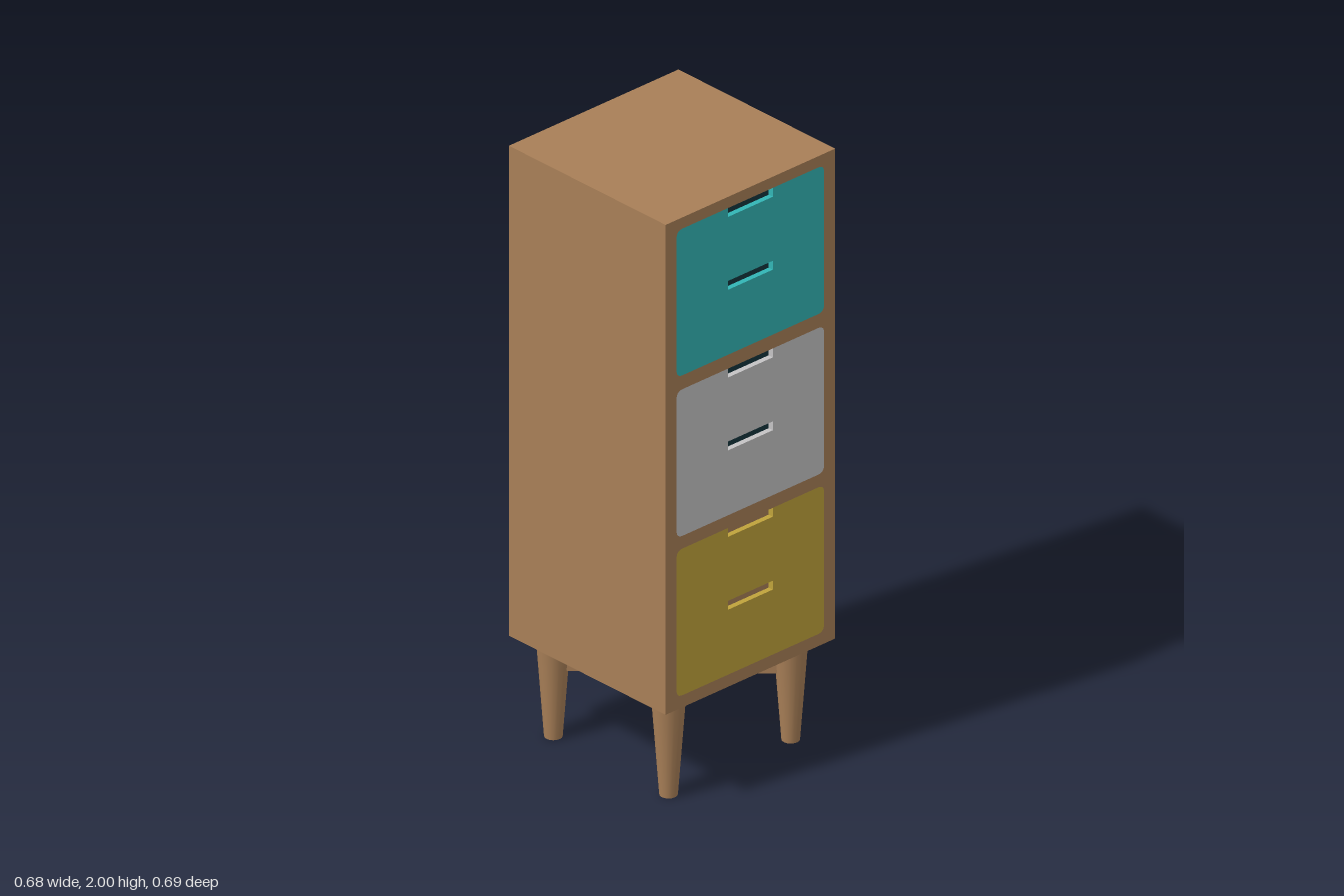
import * as THREE from 'three';

const mat = (name, color) => Object.assign(new THREE.MeshStandardMaterial({ color }), { name });

// Rounded rectangle outline; a notch in the middle of the top edge is optional
function roundedOutline(path, w, y0, y1, r, notchW = 0, notchH = 0) {
  path.moveTo(-w + r, y0);
  path.lineTo(w - r, y0);
  path.quadraticCurveTo(w, y0, w, y0 + r);
  path.lineTo(w, y1 - r);
  path.quadraticCurveTo(w, y1, w - r, y1);
  if (notchW) {
    path.lineTo(notchW, y1);
    path.lineTo(notchW, y1 - notchH);
    path.lineTo(-notchW, y1 - notchH);
    path.lineTo(-notchW, y1);
  }
  path.lineTo(-w + r, y1);
  path.quadraticCurveTo(-w, y1, -w, y1 - r);
  path.lineTo(-w, y0 + r);
  path.quadraticCurveTo(-w, y0, -w + r, y0);
  return path;
}

function rectOutline(path, w, y0, y1) {
  path.moveTo(-w, y0);
  path.lineTo(w, y0);
  path.lineTo(w, y1);
  path.lineTo(-w, y1);
  path.lineTo(-w, y0);
  return path;
}

export function createModel() {
  const group = new THREE.Group();
  const wood = mat('wood', 0xa87f57);
  const teal = mat('teal', 0x32b5b5);
  const grey = mat('lightGrey', 0xc4c3c4);
  const yellow = mat('mustard', 0xc0a33b);
  const dark = mat('darkTeal', 0x14343d);

  const add = (name, geometry, material, x = 0, y = 0, z = 0) => {
    const mesh = new THREE.Mesh(geometry, material);
    mesh.name = name;
    mesh.position.set(x, y, z);
    group.add(mesh);
    return mesh;
  };

  const X = 0.34, Z = 0.347, BASE = 0.34, TOP = 2, SKIN = 0.022;
  const drawerW = 0.302, drawerH = 0.497, radius = 0.025;
  const slotW = 0.092, slotH = 0.03, slotY = 0.22;
  const drawers = [
    { name: 'topDrawer', y: 1.465, material: teal, slot: dark },
    { name: 'middleDrawer', y: 0.921, material: grey, slot: dark },
    { name: 'bottomDrawer', y: 0.381, material: yellow, slot: wood },
  ];
  const skin = shape => new THREE.ExtrudeGeometry(shape,
    { depth: SKIN, bevelEnabled: false, curveSegments: 6 }).rotateY(Math.PI / 2);

  // Cabinet carcass and the face frame around the drawers on the +x side
  add('cabinet', new THREE.BoxGeometry(2 * X - SKIN, TOP - BASE, 2 * Z),
    wood, -SKIN / 2, (TOP + BASE) / 2);
  const frame = rectOutline(new THREE.Shape(), Z, BASE, TOP);
  for (const d of drawers) {
    frame.holes.push(roundedOutline(new THREE.Path(), drawerW, d.y, d.y + drawerH, radius));
  }
  add('faceFrame', skin(frame), wood, X - SKIN);

  // Drawer fronts with a notch at the top edge and a slot in the middle
  for (const d of drawers) {
    const front = roundedOutline(new THREE.Shape(), drawerW, d.y, d.y + drawerH, radius, slotW, slotH);
    front.holes.push(rectOutline(new THREE.Path(), slotW, d.y + slotY, d.y + slotY + slotH));
    add(d.name, skin(front), d.material, X - SKIN);
    for (const y of [d.y + slotY + slotH / 2, d.y + drawerH - slotH / 2]) {
      add(d.name + 'Grip', new THREE.BoxGeometry(0.004, slotH, 2 * slotW), d.slot, X - SKIN + 0.002, y);
    }
  }

  // Tapered legs
  const legGeometry = new THREE.CylinderGeometry(0.053, 0.028, BASE, 16);
  for (const sx of [-1, 1]) {
    for (const sz of [-1, 1]) add('leg', legGeometry, wood, sx * 0.25, BASE / 2, sz * 0.25);
  }

  // Crossed stretchers joining opposite legs
  const beam = new THREE.BoxGeometry(0.69, 0.108, 0.04);
  for (const s of [-1, 1]) {
    add('stretcher', beam, wood, 0, BASE - 0.054, 0).rotation.y = s * Math.PI / 4;
  }

  return group;
}
